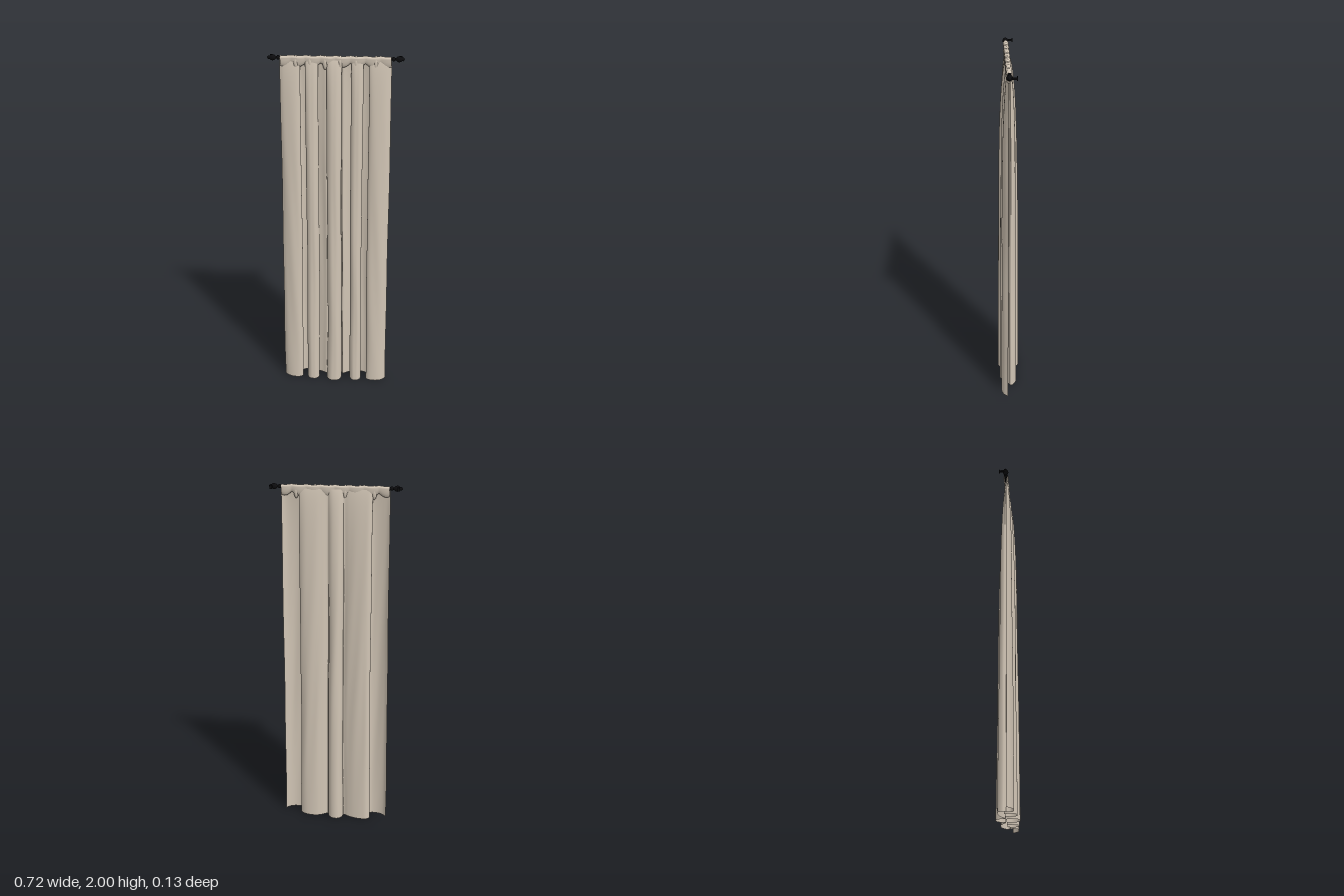
import * as THREE from 'three';

const TOP = 1.975;

// Point on a hanging fold: full depth at the hem, gathered flat at the rod
function hang(x, z, y) {
  const gather = (1 - 0.13 * y) * Math.sqrt(1 - Math.pow(y / 2, 8));
  const sway = 0.003 * Math.sin(y * 3.1 + x * 9) + 0.0015 * Math.sin(y * 8.3 + x * 31);
  const crease = 0.0015 * Math.sin(x * 85 + y * 5) * Math.sin(y * 1.6);
  return [x * (1 - 0.025 * y) + sway * (1 - y / 2.2), y, (z + crease) * gather];
}

// Sheet swept from a hem line of [x, z] points up to the rod
function foldSheet(points, name, material) {
  const curve = new THREE.CatmullRomCurve3(
    points.map(([x, z]) => new THREE.Vector3(x, 0, z)), false, 'centripetal');
  const nu = points.length * 5, nv = 48;
  const line = curve.getPoints(nu);
  const pos = [], idx = [];
  for (let j = 0; j <= nv; j++) {
    const y = TOP * Math.sin((j / nv) * Math.PI / 2);
    for (const p of line) pos.push(...hang(p.x, p.z, y));
  }
  for (let j = 0; j < nv; j++) {
    for (let i = 0; i < nu; i++) {
      const a = j * (nu + 1) + i, b = a + nu + 1;
      idx.push(a, a + 1, b, a + 1, b + 1, b);
    }
  }
  const geo = new THREE.BufferGeometry();
  geo.setAttribute('position', new THREE.Float32BufferAttribute(pos, 3));
  geo.setIndex(idx);
  geo.computeVertexNormals();
  const mesh = new THREE.Mesh(geo, material);
  mesh.name = name;
  return mesh;
}

// Gathered sleeve wrapping the rod, with a scalloped lower edge
function rodSleeve(material) {
  const geo = new THREE.CylinderGeometry(1, 1, 0.585, 20, 110, true);
  geo.rotateZ(Math.PI / 2);
  const p = geo.attributes.position;
  for (let i = 0; i < p.count; i++) {
    const x = p.getX(i), up = p.getY(i), out = p.getZ(i);
    const ruffle = Math.abs(Math.sin(x * 40));
    const y = up > 0 ? 1.984 + up * (0.010 + 0.005 * (1 - ruffle))
                     : 1.984 + up * (0.026 + 0.022 * ruffle);
    p.setXYZ(i, x, y, 0.002 + out * (0.011 + 0.004 * ruffle));
  }
  geo.computeVertexNormals();
  const mesh = new THREE.Mesh(geo, material);
  mesh.name = 'rodSleeve';
  return mesh;
}

export function createModel() {
  const group = new THREE.Group();
  const linen = new THREE.MeshStandardMaterial({ color: 0xd0c4b4, side: THREE.DoubleSide });
  linen.name = 'linen';
  const iron = new THREE.MeshStandardMaterial({ color: 0x0c0c0e });
  iron.name = 'black iron';

  const add = (geo, name, parent, x, y, z) => {
    const m = new THREE.Mesh(geo, iron);
    m.name = name;
    m.position.set(x, y, z);
    parent.add(m);
    return m;
  };

  // Outer folds, bulging forward
  group.add(foldSheet([[-0.312, 0.006], [-0.29, 0.026], [-0.25, 0.04], [-0.215, 0.038],
    [-0.198, 0.022], [-0.2, 0]], 'rightOuterFold', linen));
  group.add(foldSheet([[0.192, 0], [0.188, 0.026], [0.205, 0.042], [0.25, 0.046],
    [0.285, 0.034], [0.31, 0.008]], 'leftOuterFold', linen));

  // Back folds running between the outer folds
  group.add(foldSheet([[-0.2, 0], [-0.214, -0.016], [-0.198, -0.042], [-0.165, -0.046], [-0.12, -0.04],
    [-0.08, -0.026], [-0.052, -0.012], [-0.047, -0.036], [-0.03, -0.06], [-0.01, -0.066],
    [0.012, -0.06], [0.03, -0.04], [0.04, -0.014], [0.07, -0.032], [0.105, -0.046],
    [0.165, -0.044], [0.195, -0.028], [0.206, -0.012], [0.192, 0]], 'backFolds', linen));

  // Narrow front pleats
  for (const [x, halfWidth, depth] of [[-0.133, 0.037, 0.054], [-0.007, 0.042, 0.063], [0.121, 0.034, 0.053]]) {
    const rim = [[-0.75, -0.012], [-1, 0.35], [-0.8, 0.75], [-0.4, 0.97], [0, 1],
      [0.4, 0.97], [0.8, 0.75], [1, 0.35], [0.75, -0.012]];
    group.add(foldSheet(rim.map(([u, v]) => [x + u * halfWidth, v < 0 ? v : v * depth]), 'frontPleat', linen));
  }

  // Heading over the rod, with pinched tabs
  group.add(rodSleeve(linen));
  for (const x of [-0.21, -0.135, -0.055, 0.025, 0.108, 0.212]) {
    const tab = new THREE.Mesh(new THREE.SphereGeometry(1, 14, 12), linen);
    tab.name = 'pinchedTab';
    tab.scale.set(0.014, 0.038, 0.015);
    tab.position.set(x, 1.961, 0.003);
    group.add(tab);
  }

  // Rod, turned finials and wall brackets
  add(new THREE.CylinderGeometry(0.007, 0.007, 0.62, 14), 'rod', group, 0, 1.984, 0).rotation.z = Math.PI / 2;
  const finial = new THREE.LatheGeometry([[0.007, 0], [0.011, 0.004], [0.011, 0.012], [0.006, 0.016],
    [0.006, 0.02], [0.013, 0.027], [0.016, 0.036], [0.015, 0.045], [0.009, 0.053],
    [0.010, 0.058], [0.006, 0.064], [0, 0.066]].map(([r, h]) => new THREE.Vector2(r, h)), 16);
  for (const side of [-1, 1]) {
    const end = new THREE.Group();
    end.name = side > 0 ? 'leftRodEnd' : 'rightRodEnd';
    add(finial, 'finial', end, side * 0.295, 1.984, 0.002).rotation.z = -side * Math.PI / 2;
    add(new THREE.BoxGeometry(0.009, 0.01, 0.034), 'bracketArm', end, side * 0.343, 1.984, -0.018);
    add(new THREE.BoxGeometry(0.013, 0.02, 0.005), 'wallPlate', end, side * 0.343, 1.984, -0.0345);
    group.add(end);
  }
  return group;
}
